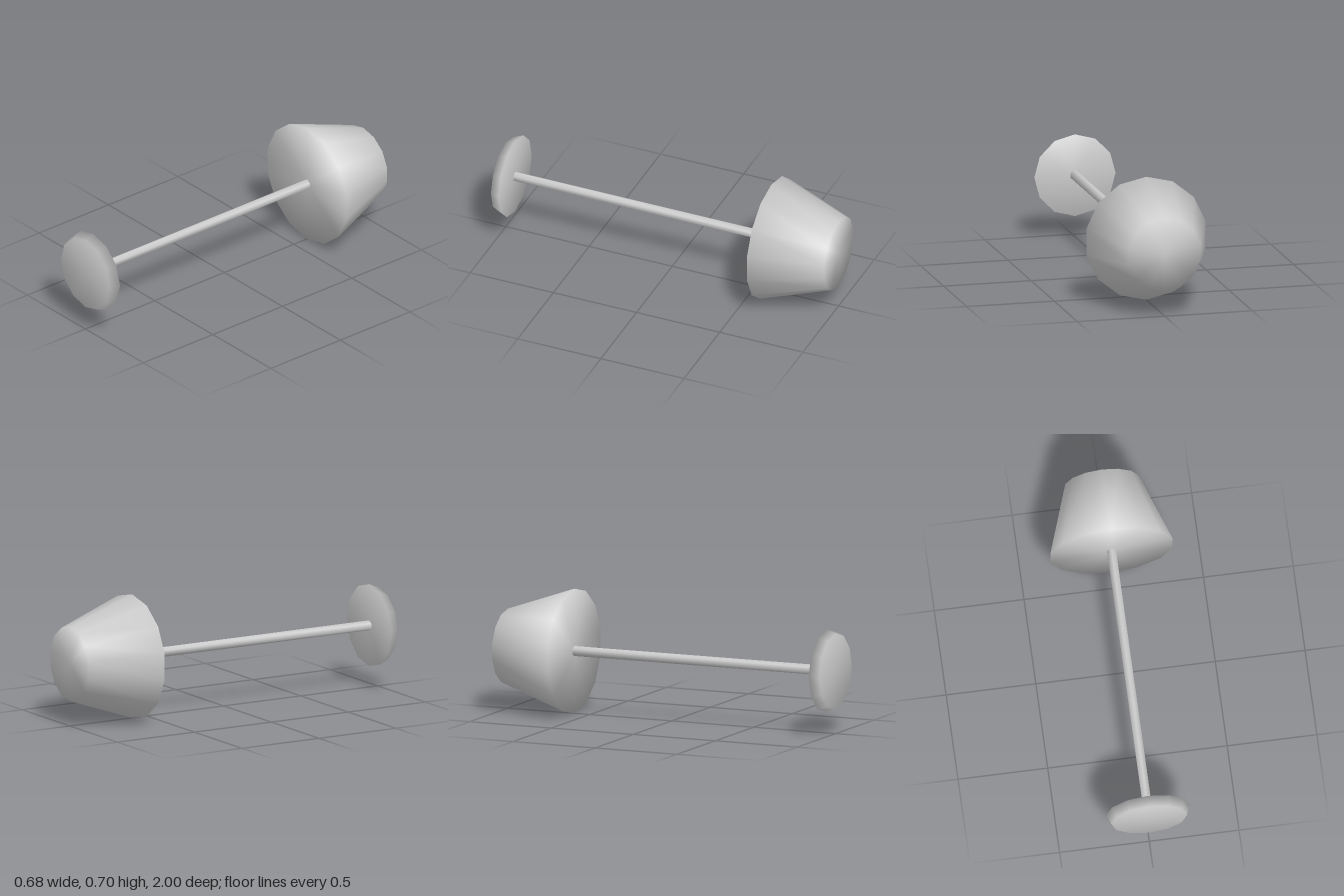
import * as THREE from 'three';
import { mergeVertices } from 'three/addons/utils/BufferGeometryUtils.js';

const AXIS_Y = 0.349;

// Closed tapered drum along z, shaded smoothly right over its rims
function drum(name, frontRadius, backRadius, frontZ, backZ, sides, material) {
  let geometry = new THREE.CylinderGeometry(frontRadius, backRadius, frontZ - backZ, sides);
  geometry.deleteAttribute('normal');
  geometry.deleteAttribute('uv');
  geometry = mergeVertices(geometry);
  geometry.rotateX(Math.PI / 2);
  geometry.computeVertexNormals();
  const mesh = new THREE.Mesh(geometry, material);
  mesh.name = name;
  mesh.position.set(0, AXIS_Y, (frontZ + backZ) / 2);
  return mesh;
}

export function createModel() {
  const lamp = new THREE.Group();
  lamp.name = 'floorLamp';
  const grey = new THREE.MeshStandardMaterial({ color: 0xcccccc });
  grey.name = 'light grey';

  // Lamp lying on its shade, with the foot towards the front
  lamp.add(
    drum('foot', 0.21, 0.232, 1, 0.944, 12, grey),
    drum('pole', 0.028, 0.028, 0.944, -0.595, 6, grey),
    drum('shade', 0.349, 0.209, -0.595, -1, 14, grey)
  );
  return lamp;
}
